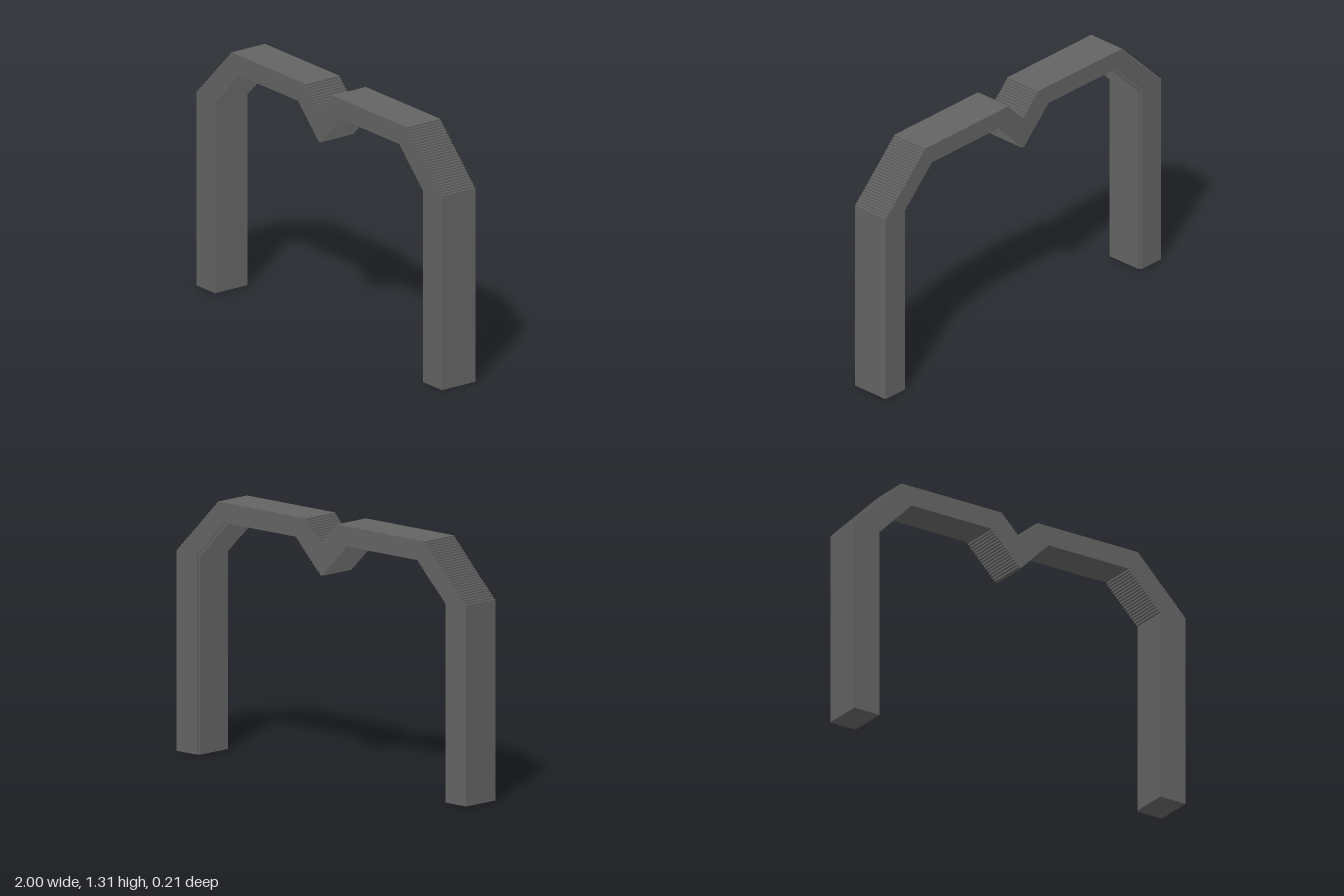
import * as THREE from 'three';

// one fine stair step; the whole arch is 190 steps wide and 20 deep
const U = 2 / 190;

// staircase from (x, y) in n unit steps; sideways first or vertical first
function stairs(x, y, dx, dy, n, sidewaysFirst) {
  const pts = [[x, y]];
  for (let i = 0; i < n; i++) {
    if (sidewaysFirst) pts.push([x + dx, y]);
    else pts.push([x, y + dy]);
    x += dx;
    y += dy;
    pts.push([x, y]);
  }
  return pts;
}

// arch outline; inset trims the inner faces of the legs and the beam underside
function archShape(inset) {
  const legIn = 80.5 + inset;
  const under = 114 + inset;
  const half = [
    ...stairs(0, 98, 1, 1, under - 98, true),              // underside of the centre V
    ...stairs(legIn - 18, under, 1, -1, 18, false),        // inner shoulder
    [legIn, 0], [95, 0],                                   // foot
    ...stairs(95, 97, -1, 1, 27, true),                    // outer shoulder
    ...stairs(10, 124, -1, -1, 10, false),                 // notch on top
  ];
  const mirrored = half.slice(1, -1).reverse().map(([x, y]) => [-x, y]);
  return new THREE.Shape([...half, ...mirrored].map(([x, y]) => new THREE.Vector2(x * U, y * U)));
}

export function createModel() {
  const group = new THREE.Group();
  group.name = 'notchedArch';
  const darkGrey = new THREE.MeshStandardMaterial({ color: 0x636363 });
  darkGrey.name = 'darkGrey';

  function addLayer(name, inset, zBack, depth) {
    const geometry = new THREE.ExtrudeGeometry(archShape(inset), { depth: depth * U, bevelEnabled: false });
    geometry.translate(0, 0, zBack * U);
    const mesh = new THREE.Mesh(geometry, darkGrey);
    mesh.name = name;
    group.add(mesh);
  }

  addLayer('archBody', 0, -9, 19);
  addLayer('archBackLayer', 1, -10, 1); // slightly slimmer rear lip
  return group;
}
